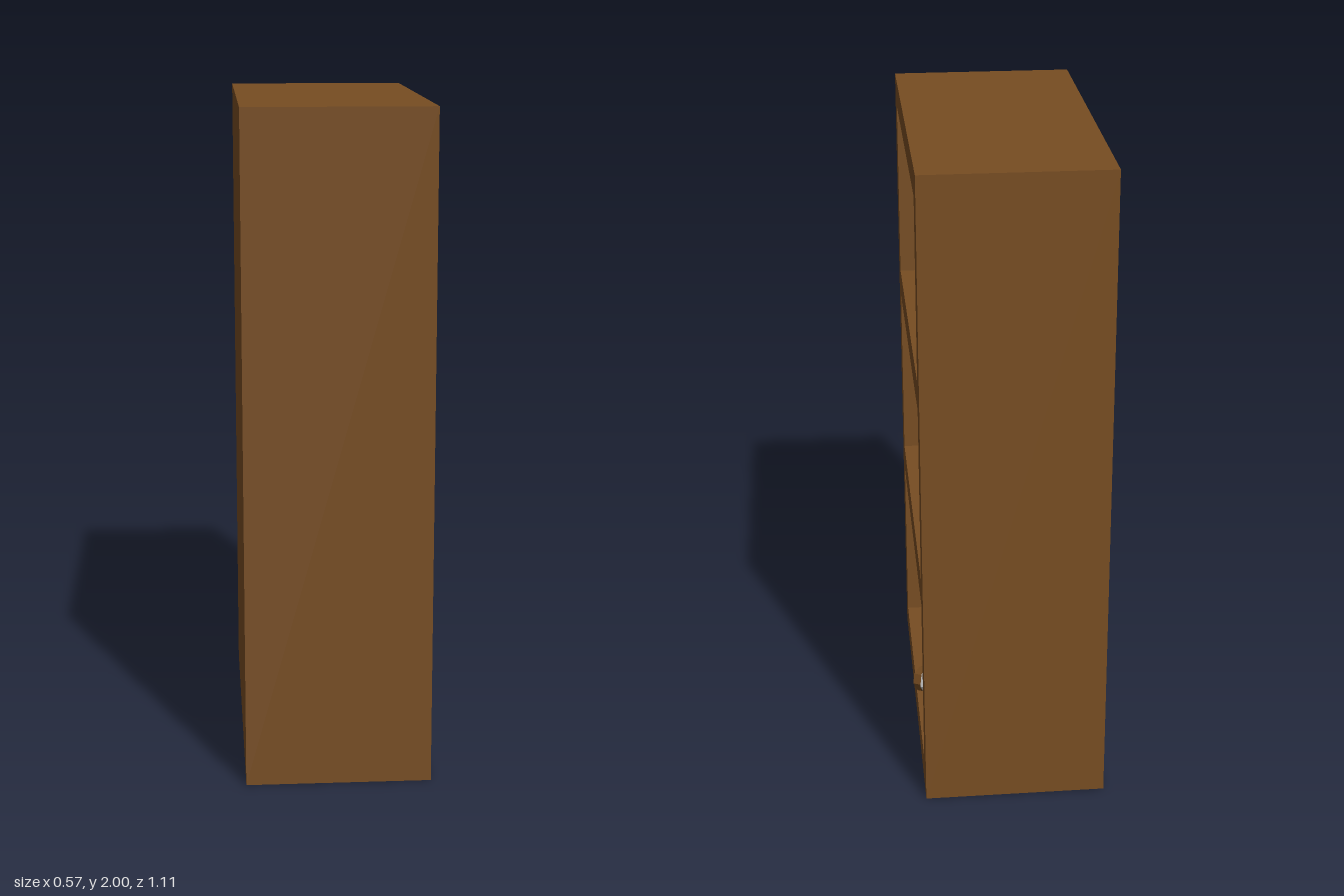
import * as THREE from 'three';

const wood = new THREE.MeshStandardMaterial({ color: 0x774d22, flatShading: true });
const glass = new THREE.MeshStandardMaterial({ color: 0xcccccc, flatShading: true });

const FRONT = 0.268, BACK = -0.285, DEPTH = 0.46;   // open side faces +x
const HALF_W = 0.555, HALF_HOLE = 0.468, HOLE_H = 0.55;
const SHELVES = [0.09, 0.728, 1.365];

function part(name, geometry, material) {
  const mesh = new THREE.Mesh(geometry, material);
  mesh.name = name;
  return mesh;
}

// Box whose +x side is left open; inward turns the faces to the inside
function openBox(w, h, d, inward) {
  const g = new THREE.BoxGeometry(w, h, d);
  const index = Array.from(g.index.array).slice(6);
  g.setIndex(inward ? index.reverse() : index);
  g.clearGroups();
  if (inward) g.computeVertexNormals();
  return g;
}

function rectangle(path, halfW, y0, y1) {
  path.moveTo(-halfW, y0);
  path.lineTo(halfW, y0);
  path.lineTo(halfW, y1);
  path.lineTo(-halfW, y1);
  path.closePath();
  return path;
}

function createCabinet() {
  const cabinet = new THREE.Group();
  cabinet.name = 'cabinet';

  // Outer case
  const shell = part('outerCase', openBox(FRONT - BACK, 2, HALF_W * 2, false), wood);
  shell.position.set((FRONT + BACK) / 2, 1, 0);
  cabinet.add(shell);

  // Front frame with three openings
  const frame = rectangle(new THREE.Shape(), HALF_W, 0, 2);
  for (const y of SHELVES) frame.holes.push(rectangle(new THREE.Path(), HALF_HOLE, y, y + HOLE_H));
  const frameMesh = part('frontFrame', new THREE.ShapeGeometry(frame).rotateY(Math.PI / 2), wood);
  frameMesh.position.x = FRONT;
  cabinet.add(frameMesh);

  // Compartment linings
  for (const y of SHELVES) {
    const lining = part('compartment', openBox(DEPTH, HOLE_H, HALF_HOLE * 2, true), wood);
    lining.position.set(FRONT - DEPTH / 2, y + HOLE_H / 2, 0);
    cabinet.add(lining);
  }
  return cabinet;
}

// Eight-sided flask with a cork, standing on its origin
const profile = [[0, 0], [0.124, 0], [0.13, 0.01], [0.115, 0.095], [0.053, 0.235], [0.053, 0.33], [0, 0.33]]
  .map(([r, y]) => new THREE.Vector2(r, y));
const bodyGeometry = new THREE.LatheGeometry(profile, 8);
const corkGeometry = new THREE.CylinderGeometry(0.042, 0.042, 0.06, 8).translate(0, 0.343, 0);

function createBottle(x, y, z) {
  const bottle = new THREE.Group();
  bottle.name = 'bottle';
  bottle.add(part('bottleBody', bodyGeometry, glass), part('cork', corkGeometry, wood));
  bottle.position.set(x, y, z);
  return bottle;
}

export function createModel() {
  const model = new THREE.Group();
  model.name = 'bottleCabinet';
  model.add(createCabinet());

  // Standing bottles, one list of z positions per shelf
  const rows = [[0.333, 0], [0.333, 0, -0.333], [0.11, -0.22]];
  rows.forEach((row, i) => row.forEach((z) => model.add(createBottle(0, SHELVES[i], z))));

  // Bottle lying on the bottom shelf, neck poking out
  const base = new THREE.Vector3(0, 0.225, -0.345);
  const neck = new THREE.Vector3(0.25, 0.14, -0.083);
  const fallen = createBottle(base.x, base.y, base.z);
  fallen.name = 'fallenBottle';
  fallen.rotation.order = 'YXZ';
  const dir = neck.clone().sub(base).normalize();
  fallen.rotation.set(Math.acos(dir.y), Math.atan2(dir.x, dir.z), 0);
  model.add(fallen);
  return model;
}
